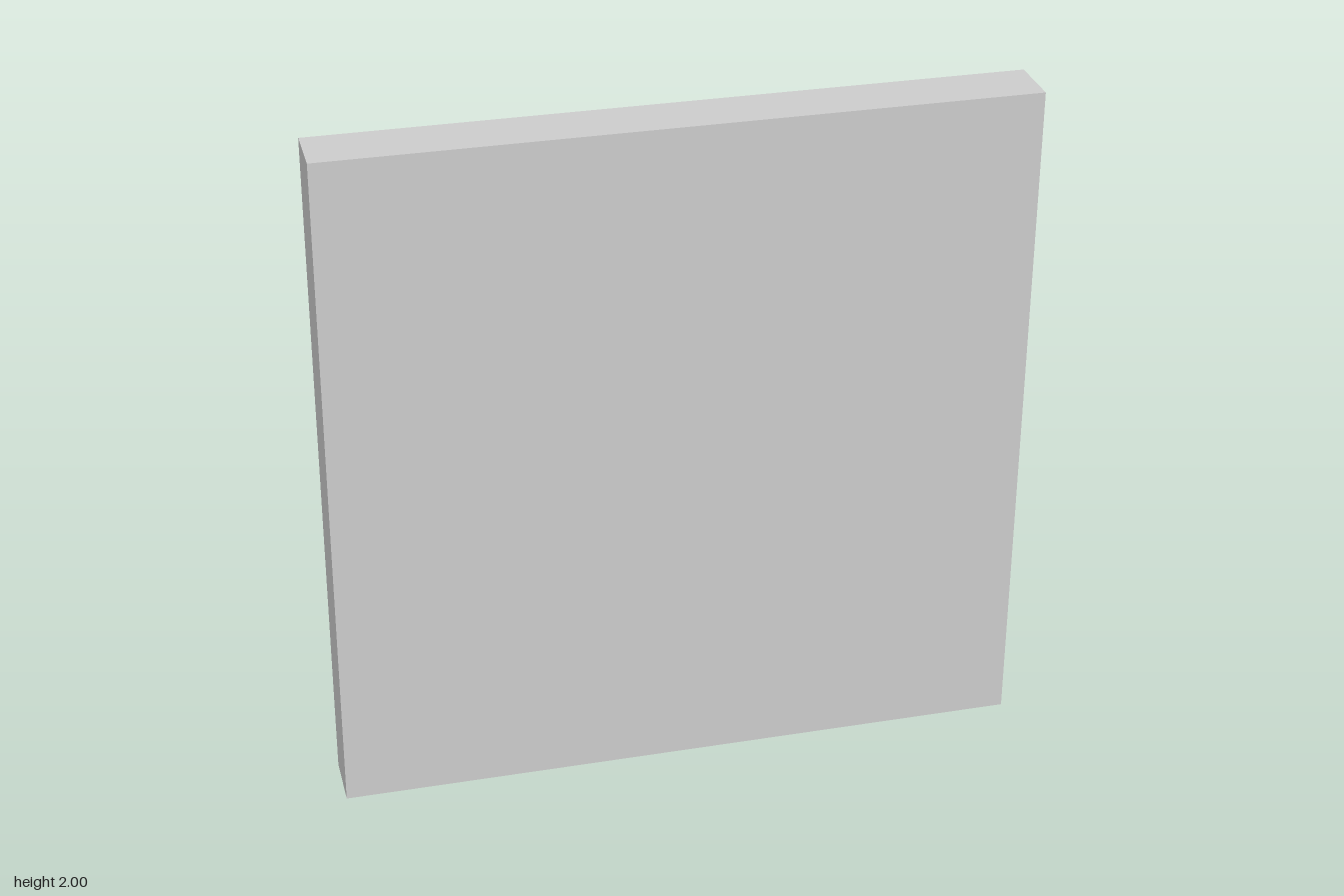
import * as THREE from 'three';

export function createModel() {
  const group = new THREE.Group();
  const material = new THREE.MeshStandardMaterial({ color: 0xcccccc, flatShading: true });

  const add = (name, geometry, x = 0, y = 0, z = 0) => {
    const mesh = new THREE.Mesh(geometry, material);
    mesh.name = name;
    mesh.position.set(x, y, z);
    group.add(mesh);
  };

  // Square upright plate
  add('plate', new THREE.BoxGeometry(2, 2, 0.17), 0, 1, 0.37);

  // Clip outline, one half as [x, z]: slot, foot, outer arm, rounded tip, inner jaw
  const half = [
    [0.06, 0.08], [0.06, 0.285], [0.2, 0.285], [0.2, 0.12], [0.222, 0.075], [0.27, 0.01],
    [0.345, -0.1], [0.375, -0.245], [0.345, -0.39], [0.298, -0.445], [0.25, -0.458],
    [0.208, -0.445], [0.192, -0.405], [0.19, -0.335], [0.203, -0.245], [0.19, -0.17],
    [0.143, -0.103], [0.08, -0.062],
  ];
  const mirrored = half.map(([x, z]) => [-x, z]).reverse();
  const outline = [...half, [0, -0.046], ...mirrored];
  const shape = new THREE.Shape(outline.map(([x, z]) => new THREE.Vector2(x, -z)));

  const clip = new THREE.ExtrudeGeometry(shape, { depth: 0.4, bevelEnabled: false });
  clip.rotateX(-Math.PI / 2);
  add('clip', clip, 0, 0.8, 0);

  // Short web bridging the slot at mid height
  add('slotWeb', new THREE.BoxGeometry(0.12, 0.12, 0.205), 0, 1, 0.1825);

  return group;
}
